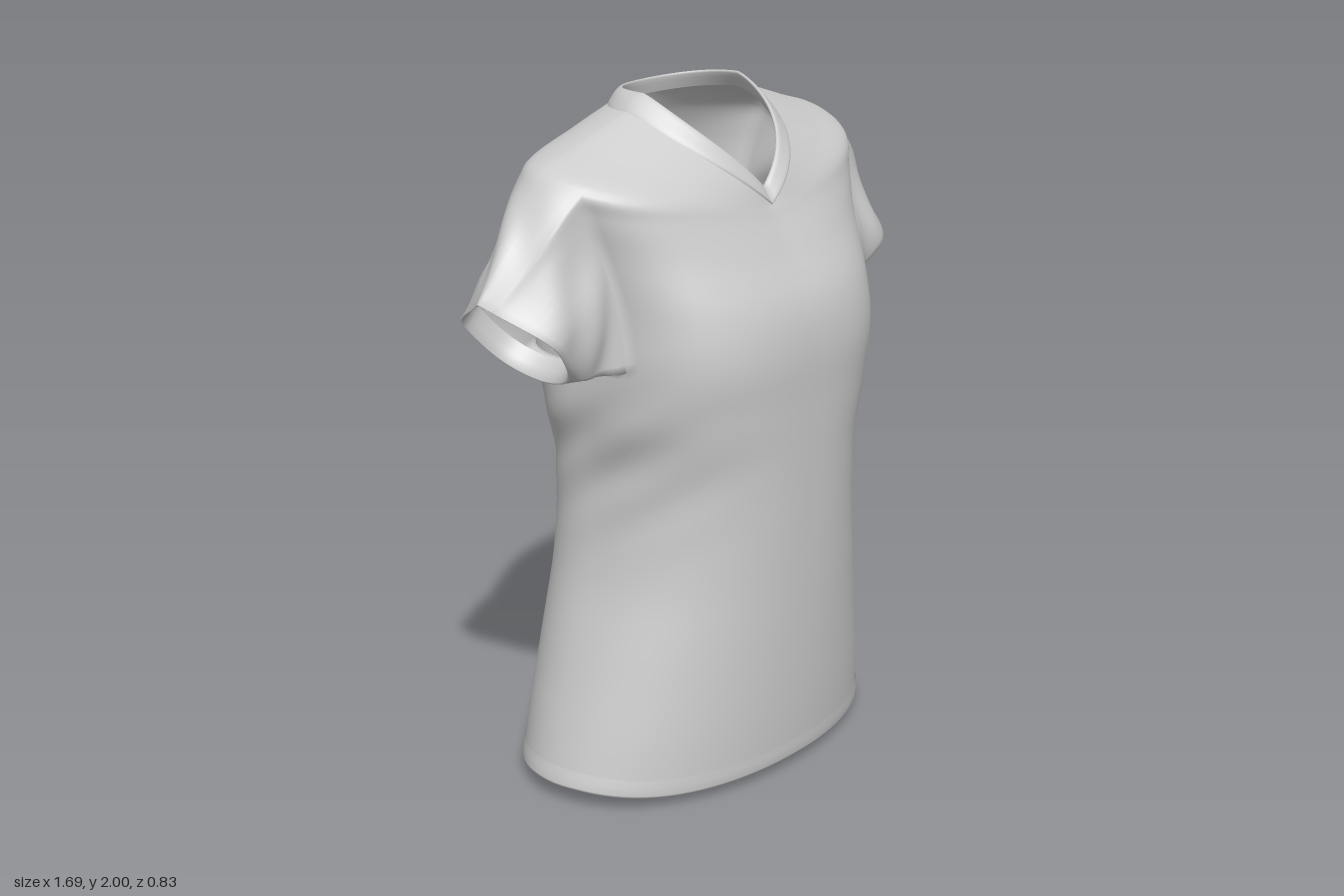
import * as THREE from 'three';

const COLS = 96, STEPS = 6;

// Torso rings: half width, y at side / front / back, z at front / side / back, squareness
const TORSO = [
  [0.626, 0.03, 0.04, 0.05, 0.37, -0.02, -0.415, 2.05],
  [0.59, 0.2, 0.2, 0.2, 0.38, -0.02, -0.413, 2.1],
  [0.54, 0.4, 0.4, 0.4, 0.388, -0.02, -0.40, 2.15],
  [0.466, 0.7, 0.7, 0.7, 0.397, -0.03, -0.375, 2.3],
  [0.45, 0.95, 0.95, 0.95, 0.403, -0.04, -0.37, 2.4],
  [0.485, 1.14, 1.14, 1.14, 0.408, -0.05, -0.37, 2.6],
  [0.495, 1.29, 1.31, 1.3, 0.41, -0.06, -0.37, 2.85],
  [0.505, 1.45, 1.44, 1.45, 0.385, -0.07, -0.367, 2.75],
  [0.54, 1.62, 1.56, 1.62, 0.32, -0.08, -0.357, 2.55],
  [0.585, 1.755, 1.64, 1.75, 0.275, -0.08, -0.335, 2.35],
  [0.597, 1.836, 1.675, 1.84, 0.257, -0.08, -0.305, 2.2],
  [0.43, 1.896, 1.685, 1.9, 0.25, -0.07, -0.28, 2.1],
  [0.255, 1.955, 1.695, 1.94, 0.243, -0.06, -0.262, 2],
];
// Neck band: from the outer seam over the rolled edge and down inside
const COLLAR = [
  [0.262, 1.95, 1.69, 1.933, 0.245, -0.06, -0.264, 2],
  [0.254, 1.962, 1.697, 1.944, 0.247, -0.06, -0.263, 2],
  [0.232, 1.985, 1.715, 1.968, 0.234, -0.06, -0.254, 2],
  [0.21, 1.999, 1.735, 1.982, 0.219, -0.05, -0.246, 2],
  [0.203, 1.992, 1.735, 1.976, 0.209, -0.05, -0.24, 2],
  [0.23, 1.95, 1.705, 1.935, 0.225, -0.06, -0.25, 2],
];
// Turned hem: outer stitch line, bottom edge, inside
const HEM = [
  [0.604, 0.085, 0.09, 0.095, 0.366, -0.02, -0.405, 2.05],
  [0.615, 0.04, 0.05, 0.06, 0.36, -0.02, -0.405, 2.05],
  [0.623, 0.03, 0.038, 0.048, 0.366, -0.02, -0.411, 2.05],
  [0.629, 0.036, 0.045, 0.055, 0.374, -0.02, -0.418, 2.05],
  [0.615, 0.085, 0.09, 0.095, 0.376, -0.02, -0.417, 2.08],
];

// Catmull-Rom interpolation through a table of rings
function ringAt(keys, u) {
  const i = Math.min(Math.floor(u), keys.length - 2), f = u - i;
  const k = (n) => keys[Math.max(0, Math.min(keys.length - 1, n))];
  return keys[i].map((b, c) => {
    const a = k(i - 1)[c], d = k(i + 1)[c], e = k(i + 2)[c];
    return b + 0.5 * f * (d - a + f * (2 * a - 5 * b + 4 * d - e + f * (3 * (b - d) + e - a)));
  });
}

// One point on a ring, with diagonal drape folds at the sides and a slightly twisted hem
function ringPoint([w, yS, yF, yB, zF, zS, zB, n], j) {
  const t = (j / COLS) * Math.PI * 2, c = Math.cos(t), s = Math.sin(t);
  const r = Math.pow(Math.abs(c) ** n + Math.abs(s) ** n, -1 / n);
  const p = Math.asin(Math.min(1, Math.abs(s))) / (Math.PI / 2);
  let y = s > 0 ? yS + (yF - yS) * p ** 1.2 : yS + (yB - yS) * s * s;
  let z = zS + (s > 0 ? zF - zS : zS - zB) * r * s;
  const bell = Math.exp(-(((y - 1.0) / 0.2) ** 2)) * c ** 4;
  const fold = 1 + 0.014 * bell * Math.sin(32 * y - 22 * z);
  let x = w * r * c * fold;
  z = zS + (z - zS) * fold;
  const low = Math.max(0, 1 - y / 0.6);
  y -= 0.03 * Math.sign(x) * Math.min(1, Math.abs(x / 0.62)) ** 6 * low;
  x -= 0.028 * low;
  return new THREE.Vector3(x, y, z);
}

function rings(keys, steps) {
  const rows = [];
  for (let i = 0; i <= (keys.length - 1) * steps; i++) {
    const ring = ringAt(keys, i / steps);
    rows.push(Array.from({ length: COLS }, (_, j) => ringPoint(ring, j)));
  }
  return rows;
}

// Skin closed loops of points, leaving out cells where skip() is true
function loft(name, rows, skip = () => false) {
  const n = rows[0].length, index = [];
  for (let i = 0; i < rows.length - 1; i++) {
    for (let j = 0; j < n; j++) {
      if (skip(i, j)) continue;
      const a = i * n + j, b = i * n + ((j + 1) % n);
      index.push(a, a + n, b, b, a + n, b + n);
    }
  }
  const geometry = new THREE.BufferGeometry().setFromPoints(rows.flat());
  geometry.setIndex(index);
  geometry.computeVertexNormals();
  const mesh = new THREE.Mesh(geometry, new THREE.MeshStandardMaterial({
    color: 0xcccccc, side: THREE.DoubleSide }));
  mesh.name = name;
  return mesh;
}

// Share normals where the first loop of a sleeve meets the torso
function smoothSeam(torso, sleeve, count) {
  const [tp, tn, sp, sn] = [torso, sleeve].flatMap((m) =>
    [m.geometry.attributes.position, m.geometry.attributes.normal]);
  const a = new THREE.Vector3(), b = new THREE.Vector3();
  for (let k = 0; k < count; k++) {
    a.fromBufferAttribute(sp, k);
    for (let i = 0; i < tp.count; i++) {
      if (b.fromBufferAttribute(tp, i).distanceToSquared(a) > 1e-9) continue;
      b.fromBufferAttribute(tn, i);
      b.add(a.fromBufferAttribute(sn, k)).normalize();
      tn.setXYZ(i, b.x, b.y, b.z);
      sn.setXYZ(k, b.x, b.y, b.z);
      break;
    }
  }
}

// Armhole block in the torso grid
const ROW0 = 6 * STEPS, ROW1 = 10 * STEPS, BACK = -9, FRONT = 6;

function armholeLoop(torso) {
  const at = (i, j) => torso[i][(j + COLS) % COLS], loop = [];
  for (let j = BACK; j < FRONT; j++) loop.push(at(ROW0, j));
  for (let i = ROW0; i < ROW1; i++) loop.push(at(i, FRONT));
  for (let j = FRONT; j > BACK; j--) loop.push(at(ROW1, j));
  for (let i = ROW1; i > ROW0; i--) loop.push(at(i, BACK));
  return loop;
}

// Sleeve rows running from the armhole to a cuff pinched at the top, then folded inside
function sleeveRows(loop, drop) {
  const angles = loop.map((p) => Math.atan2((p.y - 1.56) / 0.27, (p.z + 0.07) / 0.2));
  const cuff = (a, k) => {
    const up = Math.sin(a) * k, wave = 1 + 0.02 * Math.sin(5 * a);
    const pinch = 1 - 0.85 * Math.max(0, up) ** 1.8;
    return new THREE.Vector3(0.722 + 0.125 * up, 1.4 + (up > 0 ? 0.13 : drop) * up,
      -0.075 + 0.178 * Math.cos(a) * k * wave * pinch);
  };
  const rows = [];
  for (let i = 0; i <= 16; i++) {
    const v = i / 16, b = Math.sin(Math.PI * v);
    rows.push(loop.map((p, k) => {
      const a = angles[k], q = p.clone().lerp(cuff(a, 1), v);
      const puff = b * (0.008 + 0.009 * Math.sin(6 * a + 7 * v));
      q.y += Math.sin(a) * puff;
      q.z += Math.cos(a) * puff;
      return q;
    }));
  }
  for (const [k, back] of [[0.96, 0], [0.93, 0.02], [0.95, 0.05]]) {
    rows.push(angles.map((a) => cuff(a, k).add(new THREE.Vector3(-back, back, 0))));
  }
  return rows;
}

export function createModel() {
  const shirt = new THREE.Group();
  shirt.name = 'shirt';

  // Torso with an open armhole on each side
  const torsoRows = rings(TORSO, STEPS), half = COLS / 2;
  const torso = loft('torso', torsoRows, (i, j) => {
    if (i < ROW0 || i >= ROW1) return false;
    const left = j >= COLS + BACK || j < FRONT;
    return left || (j >= half - FRONT && j < half - BACK);
  });
  shirt.add(torso);

  // Sleeves, the right one mirrored and hanging a little lower
  const armhole = armholeLoop(torsoRows);
  const leftRows = sleeveRows(armhole, 0.115);
  const rightRows = sleeveRows(armhole, 0.15).map((row) =>
    row.map((p) => new THREE.Vector3(-p.x, p.y, p.z)).reverse());
  for (const [name, rows] of [['leftSleeve', leftRows], ['rightSleeve', rightRows]]) {
    const sleeve = loft(name, rows);
    smoothSeam(torso, sleeve, armhole.length);
    shirt.add(sleeve);
  }

  // Neck band and turned hem
  shirt.add(loft('neckBand', rings(COLLAR, 3)));
  shirt.add(loft('hem', rings(HEM, 2)));
  return shirt;
}
